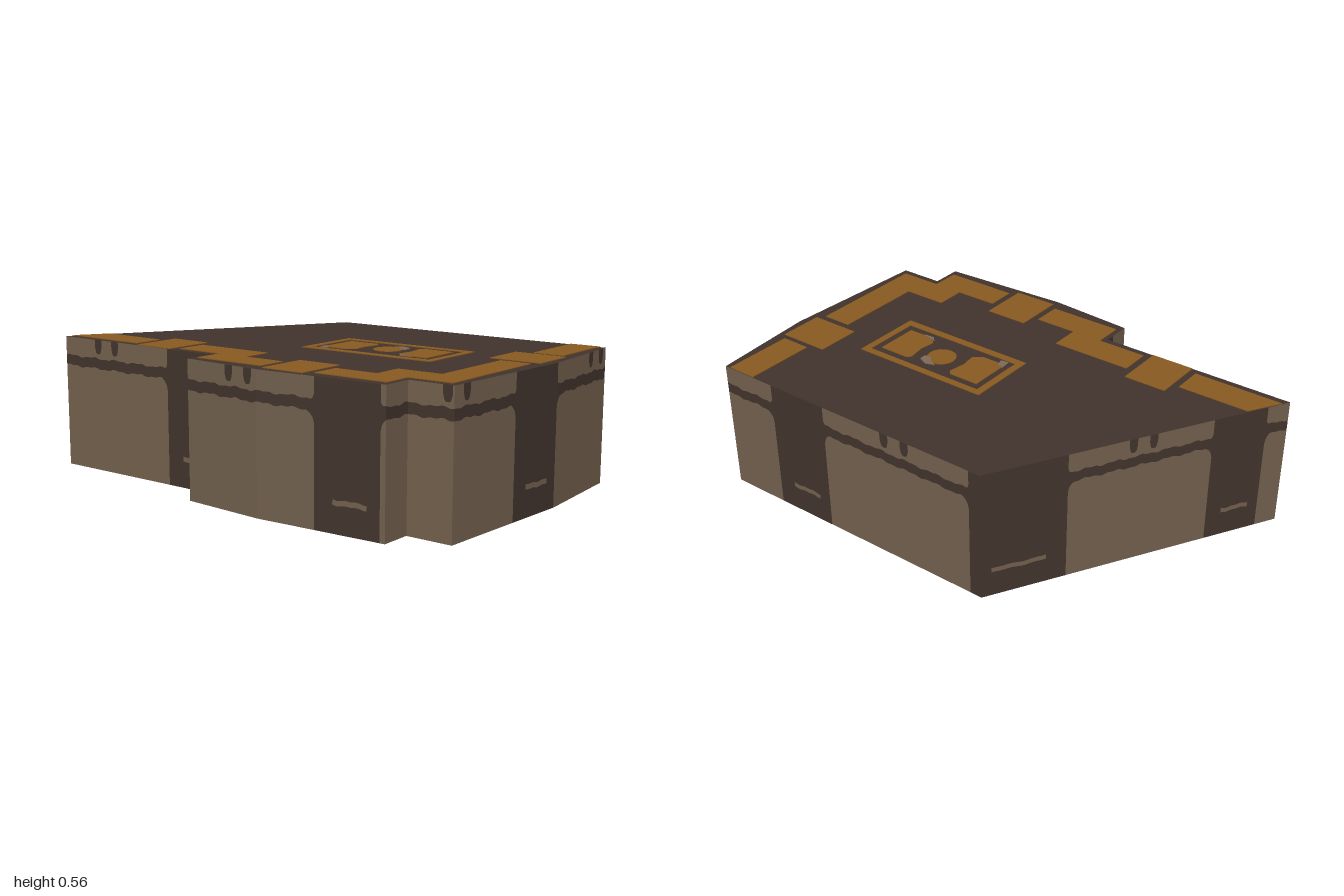
import * as THREE from 'three';

const H = 0.56;
const mat = (name, color) => new THREE.MeshStandardMaterial({ name, color, side: THREE.DoubleSide });

// Footprint corners going round from the front left: x, z, position along the wall pattern
const OUTLINE = [
  [-1, 0.48, 0], [-0.155, 0.48, 0.845], [-0.155, 0.61, 0.975], [0.215, 0.638, 1.346],
  [0.775, 0.61, 1.907], [0.775, 0.48, 2.037], [0.965, 0.48, 2.227], [1, -0.18, 2.887],
  [0.965, -0.64, 3.348], [-0.345, -0.64, 4.658], [-0.522, -0.338, 4.885], [-1, 0.48, 6],
];

// The pattern repeats every unit: a pillar, then a panel with a band and a top strip
const PILLAR = [0.605, 0.885];
const DASH = [0.685, 0.83];
const NOTCHES = [0.2, 0.3];

// Heights where a column changes colour, in the order panel, frame, panel, frame
function levels(u, mid) {
  const p = mid - Math.floor(mid);
  const wave = 0.003 * Math.sin(u * 47) + 0.002 * Math.sin(u * 113);
  if (p > PILLAR[0] && p < PILLAR[1]) {
    const dash = p > DASH[0] && p < DASH[1];
    const low = 0.107 + wave * 0.7;
    return [0, 0, low, dash ? low + 0.02 : low, H];
  }
  const q = u - Math.floor(mid);
  const edge = Math.max(0, p < PILLAR[0] ? Math.min(PILLAR[0] - q, q + 1 - PILLAR[1]) : q - PILLAR[1]);
  const round = (r) => (edge < r ? r - Math.sqrt(Math.max(0, r * r - (r - edge) ** 2)) : 0);
  const notch = NOTCHES.reduce((d, n) => Math.min(d, Math.abs(q - n)), 1);
  const top = notch < 0.02 ? 0.5 + 0.03 * (notch / 0.02) ** 4 : H;
  const inNotch = NOTCHES.some((n) => Math.abs(p - n) < 0.02);
  return [0, 0.438 + wave - round(0.045), 0.481 + wave + round(0.018), inNotch ? Math.min(top, 0.53) : H, H];
}

// Walls: narrow columns along the footprint, sorted into the two colours
function buildWalls(panelMat, frameMat) {
  const panel = [], frame = [];
  for (let i = 0; i < OUTLINE.length - 1; i++) {
    const [xa, za, ua] = OUTLINE[i], [xb, zb, ub] = OUTLINE[i + 1];
    const cuts = [ua];
    for (let k = Math.floor(ua * 200) + 1; k / 200 < ub - 1e-6; k++) cuts.push(k / 200);
    cuts.push(ub);
    const at = (u, y) => {
      const t = (u - ua) / (ub - ua);
      return [xa + (xb - xa) * t, y, za + (zb - za) * t];
    };
    for (let c = 0; c < cuts.length - 1; c++) {
      const u0 = cuts[c], u1 = cuts[c + 1], mid = (u0 + u1) / 2;
      const l0 = levels(u0, mid), l1 = levels(u1, mid);
      for (let j = 0; j < 4; j++) {
        if (l0[j + 1] - l0[j] < 1e-5 && l1[j + 1] - l1[j] < 1e-5) continue;
        const a = at(u0, l0[j]), b = at(u1, l1[j]), d = at(u1, l1[j + 1]), e = at(u0, l0[j + 1]);
        (j % 2 ? frame : panel).push(...a, ...b, ...d, ...a, ...d, ...e);
      }
    }
  }
  const make = (name, data, m) => {
    const g = new THREE.BufferGeometry();
    g.setAttribute('position', new THREE.Float32BufferAttribute(data, 3));
    g.computeVertexNormals();
    const mesh = new THREE.Mesh(g, m);
    mesh.name = name;
    return mesh;
  };
  return [make('wallPanels', panel, panelMat), make('wallFrames', frame, frameMat)];
}

const points = (list) => list.map(([x, z]) => new THREE.Vector2(x, -z));
const rect = (x0, z0, x1, z1) => [[x0, z0], [x1, z0], [x1, z1], [x0, z1]];

// Thin plate set into the roof, showing on both sides
function plate(name, outline, material, hole, thick = 0.006) {
  const shape = new THREE.Shape(points(outline));
  if (hole) shape.holes.push(new THREE.Path(points(hole)));
  const g = new THREE.ExtrudeGeometry(shape, { depth: thick, bevelEnabled: false });
  g.translate(0, 0, -thick / 2).rotateX(-Math.PI / 2);
  const mesh = new THREE.Mesh(g, material);
  mesh.name = name;
  mesh.position.y = H;
  return mesh;
}

export function createModel() {
  const dark = mat('darkBrown', 0x42342d);
  const tan = mat('tan', 0x73614e);
  const ochre = mat('ochre', 0x8a5a20);
  const grey = mat('greyBrown', 0x7d6a58);

  const model = new THREE.Group();
  model.name = 'building';
  model.add(...buildWalls(tan, dark));

  // Flat roof
  const roof = new THREE.Mesh(new THREE.ShapeGeometry(new THREE.Shape(points(OUTLINE.slice(0, -1)))), dark);
  roof.geometry.rotateX(-Math.PI / 2);
  roof.position.y = H;
  roof.name = 'roof';
  model.add(roof);

  // Border slabs along the front and the left side
  const border = new THREE.Group();
  border.name = 'roofBorder';
  [
    [[-0.9, 0.32], [-0.595, 0.32], [-0.595, 0.45], [-0.98, 0.45]],
    rect(-0.565, 0.26, -0.38, 0.478),
    [[-0.35, 0.32], [0, 0.32], [0, 0.45], [0.185, 0.45], [0.185, 0.575], [-0.135, 0.575], [-0.135, 0.45], [-0.35, 0.45]],
    rect(0.215, 0.385, 0.405, 0.605),
    [[0.435, 0.45], [0.62, 0.45], [0.62, 0.32], [0.81, 0.32], [0.81, -0.08], [0.94, -0.08],
      [0.94, 0.45], [0.755, 0.45], [0.755, 0.575], [0.435, 0.575]],
    rect(0.745, -0.305, 0.965, -0.11),
    rect(0.81, -0.638, 0.94, -0.33),
  ].forEach((o) => border.add(plate('borderSlab', o, ochre)));
  model.add(border);

  // Hatch: a frame around two side plates and a round middle plate
  const hatch = new THREE.Group();
  hatch.name = 'roofHatch';
  hatch.add(plate('hatchFrame', rect(0, -0.205, 0.62, 0.11), ochre, rect(0.032, -0.175, 0.59, 0.077)));
  const side = [[0.06, -0.143], [0.195, -0.143], [0.21, -0.125], [0.198, -0.05], [0.207, 0.015], [0.17, 0.045], [0.06, 0.045]];
  hatch.add(plate('hatchSidePlate', side, ochre));
  hatch.add(plate('hatchSidePlate', side.map(([x, z]) => [0.62 - x, z]), ochre));
  const disc = Array.from({ length: 16 }, (_, i) => {
    const a = (i / 16) * Math.PI * 2;
    return [0.31 + 0.062 * Math.cos(a), -0.055 + 0.062 * Math.sin(a)];
  });
  hatch.add(plate('hatchDisc', disc, ochre));
  [
    [[0.29, -0.125], [0.33, -0.138], [0.37, -0.12], [0.372, -0.09], [0.345, -0.085], [0.32, -0.11]],
    [[0.055, 0.02], [0.085, 0.03], [0.095, 0.065], [0.06, 0.07]],
    [[0.42, 0.03], [0.47, 0.04], [0.49, 0.05], [0.44, 0.052]],
  ].forEach((o) => hatch.add(plate('wornPatch', o, grey, null, 0.008)));
  model.add(hatch);
  return model;
}
